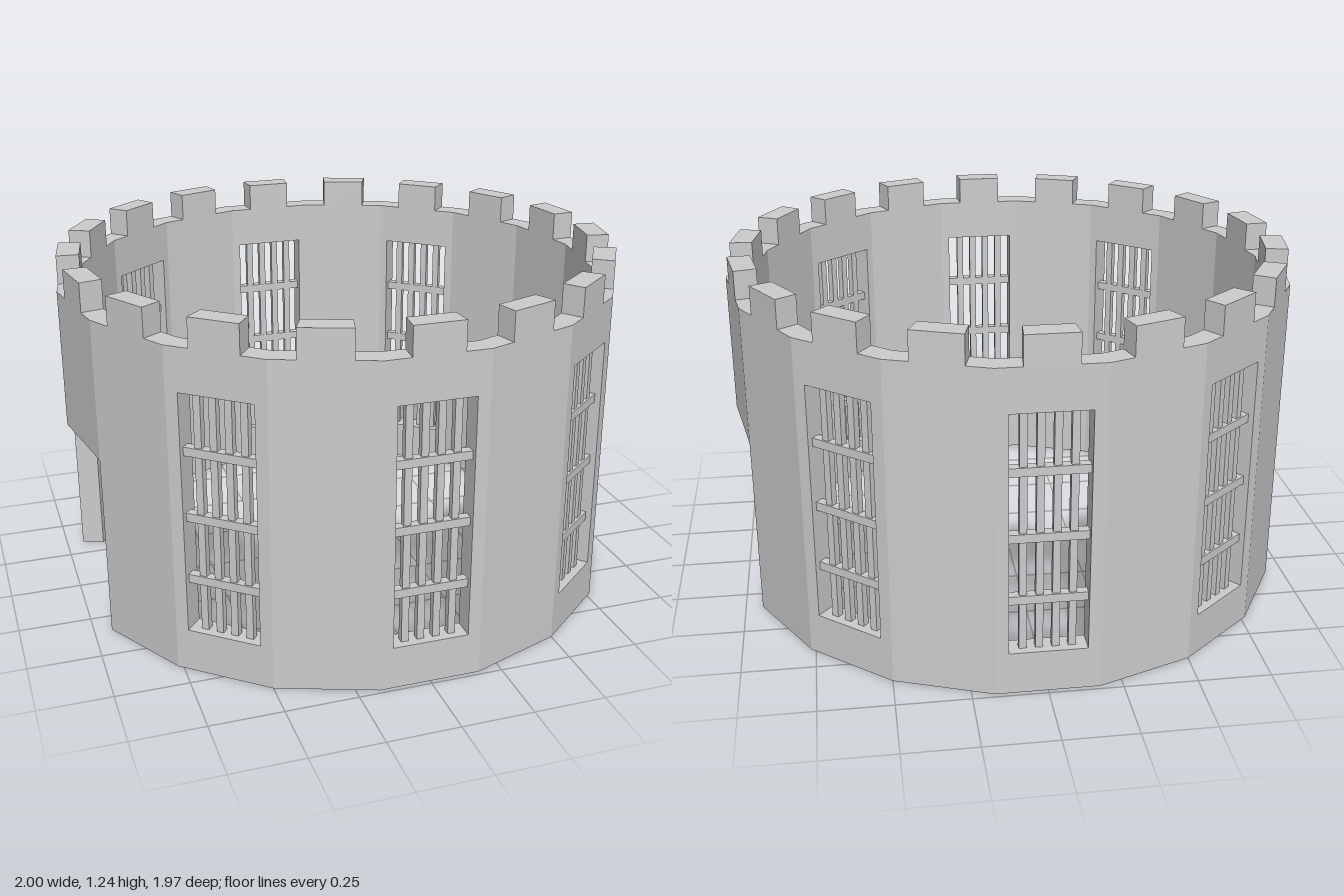
import * as THREE from 'three';

const SIDES = 18;
const STEP = (Math.PI * 2) / SIDES;
const OUT = Math.cos(STEP / 2);   // distance of the outer faces from the axis
const HALF = Math.sin(STEP / 2);  // half width of one outer face
const INNER = 0.92;               // inner radius relative to outer
const WALL_TOP = 1.14, TOP = 1.24, DOOR_TOP = 0.65;
const WIN = { half: 0.13, bottom: 0.15, top: 0.99 };

const WINDOWS = [0, 2, 7, 9, 11, 16];
const DOORWAYS = [4, 5, 13, 14];
const JAMB_SIDE = { 3: 1, 6: -1, 12: 1, 15: -1 }; // panels beside a doorway

// One flat wall panel with its merlon; ends are mitred towards the axis
function panelGeometry(k) {
  const bottom = DOORWAYS.includes(k) ? DOOR_TOP : 0;
  const m = HALF / 2;
  const outline = [
    [-HALF, bottom], [HALF, bottom], [HALF, DOOR_TOP], [HALF, WALL_TOP],
    [m, WALL_TOP], [m, TOP], [-m, TOP], [-m, WALL_TOP],
    [-HALF, WALL_TOP], [-HALF, DOOR_TOP],
  ].filter(([, y], i) => !(bottom && (i === 2 || i === 9)));
  const shape = new THREE.Shape(outline.map(([x, y]) => new THREE.Vector2(x, y)));
  if (WINDOWS.includes(k)) {
    const { half: h, bottom: b, top: t } = WIN;
    shape.holes.push(new THREE.Path([[-h, b], [-h, t], [h, t], [h, b]].map(([x, y]) => new THREE.Vector2(x, y))));
  }
  const solid = new THREE.ExtrudeGeometry(shape, { depth: 1, bevelEnabled: false });
  const p = solid.attributes.position;
  const kept = [];
  for (let i = 0; i < p.count; i += 3) {
    const tri = [i, i + 1, i + 2].map((j) => new THREE.Vector3().fromBufferAttribute(p, j));
    // Drop the seams between panels, keep the exposed door jambs
    const seam = tri.every((v) => Math.abs(Math.abs(v.x) - HALF) < 1e-4 && Math.sign(v.x) === Math.sign(tri[0].x));
    const jamb = JAMB_SIDE[k] === Math.sign(tri[0].x) && tri.every((v) => v.y < DOOR_TOP + 1e-4);
    if (seam && !jamb) continue;
    for (const v of tri) {
      const inside = v.z < 0.5;
      const windowEdge = Math.abs(Math.abs(v.x) - WIN.half) < 1e-4;
      kept.push(inside && !windowEdge ? v.x * INNER : v.x, v.y, inside ? OUT * INNER : OUT);
    }
  }
  const g = new THREE.BufferGeometry();
  g.setAttribute('position', new THREE.Float32BufferAttribute(kept, 3));
  g.computeVertexNormals();
  return g;
}

// Window grille: four upright bars and three crossbars
function createGrille(material) {
  const grille = new THREE.Group();
  grille.name = 'windowGrille';
  const bar = (name, w, h, d, x, y, z) => {
    const mesh = new THREE.Mesh(new THREE.BoxGeometry(w, h, d), material);
    mesh.name = name;
    mesh.position.set(x, y, z);
    grille.add(mesh);
  };
  const height = WIN.top - WIN.bottom;
  for (const x of [-0.081, -0.027, 0.027, 0.081]) {
    bar('uprightBar', 0.025, height, 0.025, x, WIN.bottom + height / 2, 0.945);
  }
  for (const y of [0.333, 0.555, 0.785]) {
    bar('crossbar', WIN.half * 2, 0.03, 0.032, 0, y, 0.948);
  }
  return grille;
}

export function createModel() {
  const model = new THREE.Group();
  model.name = 'roundTower';
  const material = new THREE.MeshStandardMaterial({ color: 0xcccccc, flatShading: true });

  for (let k = 0; k < SIDES; k++) {
    const section = new THREE.Group();
    section.name = DOORWAYS.includes(k) ? 'doorwaySection' : WINDOWS.includes(k) ? 'windowSection' : 'wallSection';
    const wall = new THREE.Mesh(panelGeometry(k), material);
    wall.name = 'wallPanel';
    section.add(wall);
    if (WINDOWS.includes(k)) section.add(createGrille(material));
    section.rotation.y = k * STEP;
    model.add(section);
  }
  return model;
}
